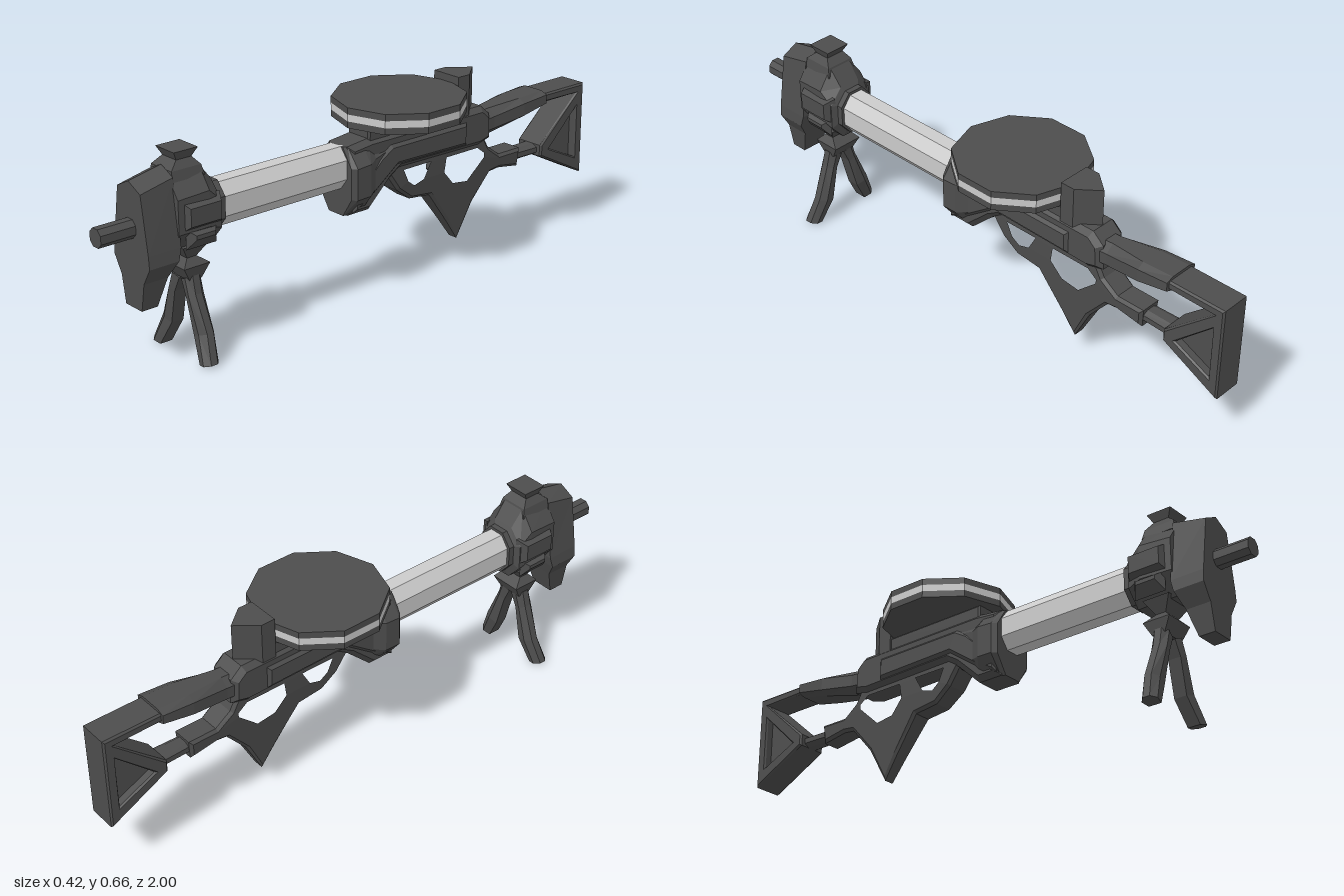
import * as THREE from 'three';

const dark = new THREE.MeshStandardMaterial({ color: 0x4d4d4d, flatShading: true });
const light = new THREE.MeshStandardMaterial({ color: 0xcccccc, flatShading: true });

function mesh(parent, name, geometry, material = dark) {
  const m = new THREE.Mesh(geometry, material);
  m.name = name;
  parent.add(m);
  return m;
}

// Skin over equal-length rings of [x, y, z], capped at both ends
function loft(rings) {
  const n = rings[0].length, tris = [];
  for (let r = 0; r < rings.length - 1; r++) {
    for (let i = 0; i < n; i++) {
      const a = rings[r][i], b = rings[r][(i + 1) % n];
      const c = rings[r + 1][(i + 1) % n], d = rings[r + 1][i];
      tris.push([a, b, c], [a, c, d]);
    }
  }
  const first = rings[0], last = rings[rings.length - 1];
  for (let i = 1; i < n - 1; i++) {
    tris.push([first[0], first[i + 1], first[i]], [last[0], last[i], last[i + 1]]);
  }
  // Turn the skin outwards whichever way the rings run
  let volume = 0;
  const v = (p) => new THREE.Vector3(...p);
  for (const [a, b, c] of tris) volume += v(a).dot(v(b).cross(v(c)));
  if (volume < 0) tris.forEach((t) => t.reverse());
  const g = new THREE.BufferGeometry();
  g.setAttribute('position', new THREE.Float32BufferAttribute(tris.flat(2), 3));
  g.computeVertexNormals();
  return g;
}

// Octagonal ring across z
function oct(z, rx, y0, y1, cut = 0.45) {
  const cy = (y0 + y1) / 2, ry = (y1 - y0) / 2;
  return [[1, cut], [cut, 1], [-cut, 1], [-1, cut], [-1, -cut], [-cut, -1], [cut, -1], [1, -cut]]
    .map(([a, b]) => [a * rx, cy + b * ry, z]);
}

// Six-point horizontal ring; the centre line may be raised into a ridge
function slab(y, w, zf, zb, riseF = 0, riseB = riseF, dyB = 0) {
  return [[0, y + riseF, zf], [w, y, zf], [w, y + dyB, zb],
    [0, y + dyB + riseB, zb], [-w, y + dyB, zb], [-w, y, zf]];
}

// Side profile of [z, y] points given width along x; widthAt(z, y) may scale it
function sidePlate(points, half, bevel = 0.01, holes = [], widthAt = null) {
  const toVec = (p) => new THREE.Vector2(p[0], p[1]);
  const shape = new THREE.Shape(points.map(toVec));
  shape.holes = holes.map((h) => new THREE.Path(h.map(toVec)));
  const depth = 2 * (half - bevel);
  const g = new THREE.ExtrudeGeometry(shape, {
    depth, bevelEnabled: bevel > 0, bevelThickness: bevel, bevelSize: bevel,
    bevelOffset: -bevel, bevelSegments: 1,
  });
  g.translate(0, 0, -depth / 2).rotateY(-Math.PI / 2);
  if (widthAt) {
    const p = g.attributes.position;
    for (let i = 0; i < p.count; i++) p.setX(i, p.getX(i) * widthAt(p.getZ(i), p.getY(i)));
    g.computeVertexNormals();
  }
  return g;
}

export function createModel() {
  const model = new THREE.Group();
  model.name = 'rifle';

  // Barrel and muzzle
  mesh(model, 'barrel', loft([oct(0.05, 0.055, 0.39, 0.53), oct(0.62, 0.055, 0.39, 0.53)]), light);
  mesh(model, 'muzzle', loft([oct(0.75, 0.028, 0.427, 0.485), oct(1, 0.028, 0.427, 0.485)]));

  // Front shield with ridged top
  mesh(model, 'frontShield', loft([
    slab(0.205, 0.04, 0.88, 0.824), slab(0.295, 0.056, 0.88, 0.795),
    slab(0.35, 0.088, 0.88, 0.775), slab(0.39, 0.085, 0.88, 0.764),
    slab(0.572, 0.057, 0.88, 0.764, 0.028, 0.026, 0.025),
  ]));

  // Hub behind the shield
  mesh(model, 'hub', loft([
    oct(0.77, 0.085, 0.36, 0.60), oct(0.66, 0.09, 0.36, 0.61),
    oct(0.615, 0.085, 0.36, 0.553), oct(0.605, 0.065, 0.385, 0.54),
    oct(0.585, 0.065, 0.385, 0.54),
  ]));
  for (const s of [1, -1]) {
    mesh(model, 'hubSideBlock', loft([
      [[0.07 * s, 0.425, 0.755], [0.07 * s, 0.525, 0.755], [0.07 * s, 0.525, 0.61], [0.07 * s, 0.425, 0.61]],
      [[0.106 * s, 0.45, 0.74], [0.106 * s, 0.507, 0.74], [0.106 * s, 0.507, 0.63], [0.106 * s, 0.45, 0.63]],
    ]));
    mesh(model, 'hubSideRib', loft([
      [[0.075 * s, 0.37, 0.74], [0.075 * s, 0.435, 0.74], [0.075 * s, 0.435, 0.63], [0.075 * s, 0.37, 0.63]],
      [[0.102 * s, 0.405, 0.72], [0.102 * s, 0.418, 0.72], [0.102 * s, 0.418, 0.65], [0.102 * s, 0.405, 0.65]],
    ]));
  }
  mesh(model, 'frontSight', loft([
    slab(0.58, 0.057, 0.766, 0.65), slab(0.612, 0.05, 0.764, 0.658),
    slab(0.637, 0.034, 0.735, 0.68), slab(0.665, 0.045, 0.75, 0.664),
  ]));

  // Bipod: waisted pivot and two bent legs
  const bipod = new THREE.Group();
  bipod.name = 'bipod';
  model.add(bipod);
  mesh(bipod, 'bipodPivot', loft([
    slab(0.37, 0.06, 0.74, 0.645), slab(0.325, 0.035, 0.71, 0.675),
    slab(0.30, 0.055, 0.735, 0.64), slab(0.255, 0.045, 0.71, 0.665),
  ]));
  // Each row: inner x, y, outer x, y, centre z
  const legRows = [
    [0.005, 0.25, 0.05, 0.27, 0.69], [0.028, 0.20, 0.064, 0.215, 0.692],
    [0.056, 0.085, 0.11, 0.10, 0.688], [0.10, 0.003, 0.145, 0.013, 0.702],
  ];
  for (const s of [1, -1]) {
    mesh(bipod, 'bipodLeg', loft(legRows.map(([xi, yi, xo, yo, z]) =>
      [[0, 0.022], [0.6, 0.028], [1, 0.012], [1, -0.012], [0.6, -0.028], [0, -0.022]]
        .map(([t, dz]) => [s * (xi + (xo - xi) * t), yi + (yo - yi) * t, z + dz]))));
  }

  // Receiver, its front collar and side panels
  mesh(model, 'receiver', sidePlate([
    [0.09, 0.53], [0, 0.54], [-0.50, 0.54], [-0.54, 0.505], [-0.545, 0.42], [-0.49, 0.405],
    [-0.13, 0.41], [-0.09, 0.385], [0, 0.30], [0.09, 0.30],
  ], 0.06, 0.018));
  mesh(model, 'collar', loft([
    oct(0.10, 0.075, 0.30, 0.53), oct(0.085, 0.09, 0.30, 0.53),
    oct(0.03, 0.09, 0.30, 0.535), oct(-0.01, 0.068, 0.315, 0.535), oct(-0.14, 0.055, 0.42, 0.535),
  ]));
  mesh(model, 'sidePanels', sidePlate([
    [0.08, 0.37], [-0.03, 0.475], [-0.08, 0.505], [-0.42, 0.505], [-0.42, 0.425],
    [-0.11, 0.43], [0.0, 0.35], [0.08, 0.31],
  ], 0.07, 0.012));

  // Drum magazine on its base
  mesh(model, 'drumBase', sidePlate([[0.005, 0.52], [0.005, 0.575], [-0.39, 0.575], [-0.39, 0.52]], 0.05, 0.006));
  for (const [name, y0, y1, mat] of [
    ['drumLower', 0.573, 0.595, dark], ['drumBand', 0.595, 0.618, light], ['drumUpper', 0.618, 0.64, dark],
  ]) {
    mesh(model, name, new THREE.CylinderGeometry(0.22, 0.22, y1 - y0, 10), mat)
      .position.set(0, (y0 + y1) / 2, -0.17);
  }

  // Rear sight block, pointed at the back
  const block = (y) => [[0.057, y, -0.38], [0.057, y, -0.43], [0, y, -0.50], [-0.057, y, -0.43], [-0.057, y, -0.38]];
  mesh(model, 'rearSight', loft([block(0.50), block(0.665)]));

  // Trigger guard and pointed grip in one frame, thinner towards the tip
  mesh(model, 'gripFrame', sidePlate([
    [-0.08, 0.40], [-0.13, 0.33], [-0.19, 0.285], [-0.28, 0.275], [-0.37, 0.155], [-0.423, 0.08],
    [-0.485, 0.20], [-0.56, 0.29], [-0.60, 0.295], [-0.695, 0.28], [-0.70, 0.345],
    [-0.60, 0.345], [-0.545, 0.385], [-0.52, 0.43], [-0.08, 0.43],
  ], 0.045, 0.01, [
    [[-0.14, 0.405], [-0.165, 0.345], [-0.20, 0.32], [-0.25, 0.335], [-0.285, 0.405]],
    [[-0.335, 0.405], [-0.325, 0.34], [-0.375, 0.285], [-0.45, 0.275], [-0.53, 0.35], [-0.53, 0.375], [-0.49, 0.405]],
  ], (z, y) => THREE.MathUtils.clamp(0.5 + (y - 0.08) * 1.8, 0.5, 1)));

  // Stock: cheek piece, lower strut, butt frame and recessed web
  mesh(model, 'cheekPiece', loft([
    oct(-0.50, 0.05, 0.42, 0.51), oct(-0.56, 0.05, 0.425, 0.515),
    oct(-0.69, 0.064, 0.455, 0.525, 0.6), oct(-0.80, 0.064, 0.48, 0.53, 0.6),
  ]));
  mesh(model, 'lowerStrut', loft([oct(-0.67, 0.03, 0.295, 0.335), oct(-0.82, 0.035, 0.295, 0.335)]));
  mesh(model, 'buttFrame', sidePlate([
    [-0.78, 0.52], [-0.78, 0.49], [-0.965, 0.49], [-0.79, 0.335], [-0.79, 0.295], [-1, 0.19], [-1, 0.52],
  ], 0.054, 0.006, [[[-0.965, 0.44], [-0.965, 0.255], [-0.835, 0.315]]]));
  mesh(model, 'buttWeb', sidePlate([[-0.975, 0.46], [-0.975, 0.24], [-0.82, 0.315]], 0.025, 0));

  return model;
}
